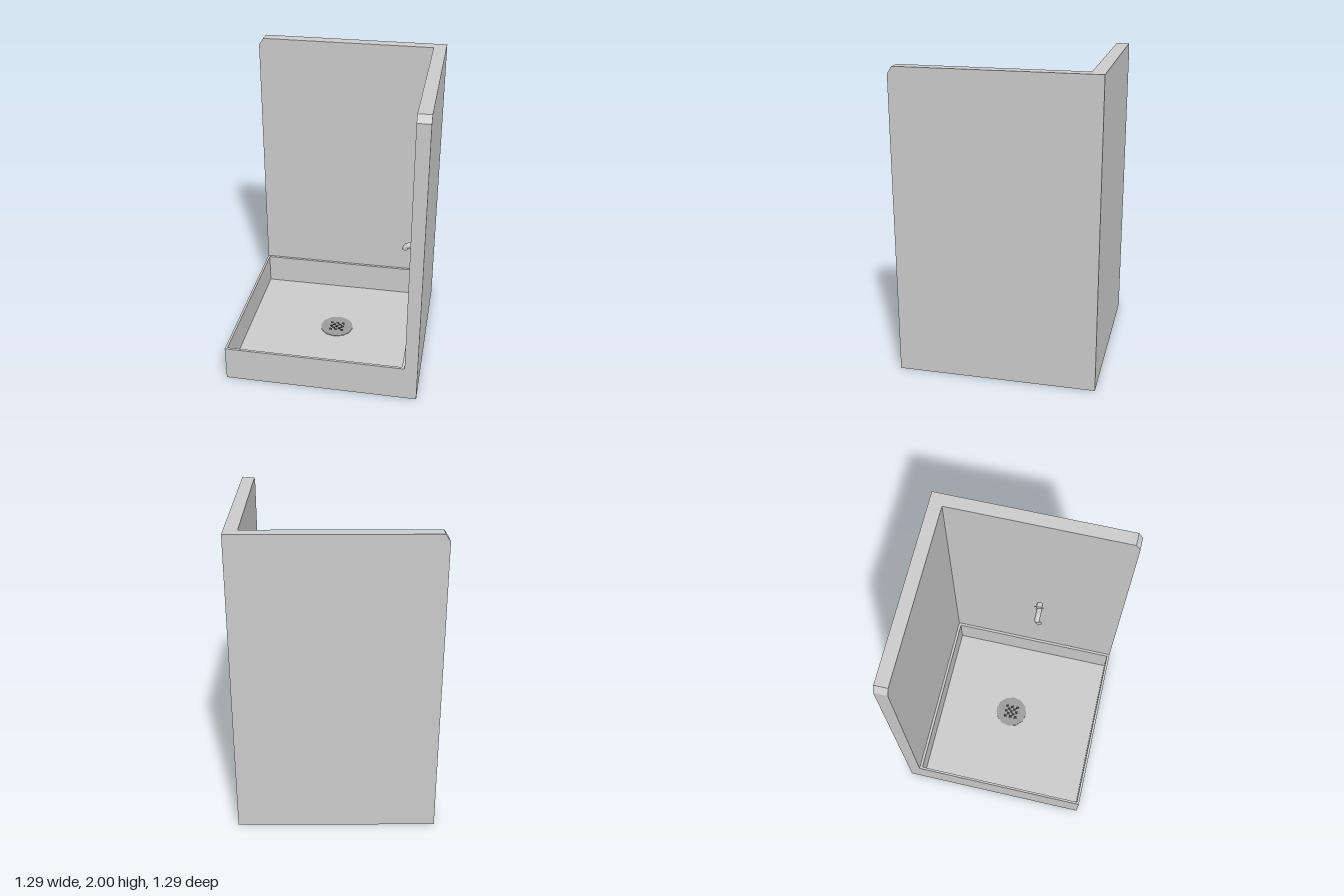
import * as THREE from 'three';

const W = 0.645, IN = 0.56, RIM = 0.24, FLOOR = 0.03;

export function createModel() {
  const model = new THREE.Group();
  const grey = new THREE.MeshStandardMaterial({ color: 0xcccccc, flatShading: true });
  const smooth = new THREE.MeshStandardMaterial({ color: 0xcccccc });
  const drainGrey = new THREE.MeshStandardMaterial({ color: 0x9c9c9c, flatShading: true });
  const dark = new THREE.MeshStandardMaterial({ color: 0x333333 });

  const add = (name, geometry, material, parent = model) => {
    const mesh = new THREE.Mesh(geometry, material);
    mesh.name = name;
    parent.add(mesh);
    return mesh;
  };
  const polygon = (points) => new THREE.Shape(points.map(([x, y]) => new THREE.Vector2(x, y)));
  const extrude = (shape, depth) => new THREE.ExtrudeGeometry(shape, { depth, bevelEnabled: false });

  // Back and side walls, each with a clipped top corner at its free end
  const wall = (start, end) => polygon([[start, 0], [end, 0], [end, 2], [start + 0.03, 2], [start, 1.955]]);
  add('backWall', extrude(wall(-W, W), W - IN).translate(0, 0, -W), grey);
  add('sideWall', extrude(wall(-W, IN), W - IN).rotateY(Math.PI / 2).translate(IN, 0, 0), grey);

  // Tray: floor slab and a rim with a rectangular opening
  const tray = new THREE.Group();
  tray.name = 'tray';
  model.add(tray);
  const side = W + IN, mid = (W - IN) / 2;
  add('trayFloor', new THREE.BoxGeometry(side, FLOOR, side).translate(-mid, FLOOR / 2, mid), grey, tray);
  const rim = polygon([[-W, -W], [IN, -W], [IN, IN], [-W, IN]]);
  rim.holes.push(polygon([[-0.63, -0.628], [-0.63, 0.542], [0.542, 0.542], [0.542, -0.628]]));
  add('trayRim', extrude(rim, RIM).rotateX(-Math.PI / 2), grey, tray);

  // Drain plate with a checkered grille
  const drain = new THREE.Group();
  drain.name = 'drain';
  drain.position.set(0, FLOOR, -0.01);
  model.add(drain);
  add('drainPlate', new THREE.CylinderGeometry(0.117, 0.117, 0.004, 12).translate(0, 0.002, 0), drainGrey, drain);
  for (let i = 0; i < 5; i++) {
    for (let j = 0; j < 5; j++) {
      if ((i + j) % 2) continue;
      const slot = add('drainSlot', new THREE.BoxGeometry(0.02, 0.002, 0.02), dark, drain);
      slot.position.set((i - 2) * 0.02, 0.0045, (j - 2) * 0.02);
    }
  }

  // Tap fittings on the side wall
  const tap = new THREE.Group();
  tap.name = 'tap';
  tap.position.set(IN, 0, 0.07);
  model.add(tap);
  const path = new THREE.CurvePath();
  path.add(new THREE.LineCurve3(new THREE.Vector3(0, 0.826, 0), new THREE.Vector3(-0.045, 0.826, 0)));
  path.add(new THREE.QuadraticBezierCurve3(
    new THREE.Vector3(-0.045, 0.826, 0), new THREE.Vector3(-0.078, 0.826, 0), new THREE.Vector3(-0.08, 0.795, 0)));
  add('spout', new THREE.TubeGeometry(path, 16, 0.019, 12), smooth, tap);
  add('spoutMouth', new THREE.CircleGeometry(0.019, 12).rotateX(Math.PI / 2).translate(-0.08, 0.796, 0), dark, tap);

  const knob = add('knob', new THREE.CylinderGeometry(0.02, 0.02, 0.035, 12), smooth, tap);
  knob.rotation.z = Math.PI / 2;
  knob.position.set(-0.0175, 0.914, 0);
  for (const s of [-1, 1]) {
    const lever = add('knobLever', new THREE.CylinderGeometry(0.002, 0.006, 0.036, 8), smooth, tap);
    lever.rotation.x = s * Math.PI / 2;
    lever.position.set(-0.03, 0.914, s * 0.018);
  }
  const plate = add('overflowPlate', new THREE.CylinderGeometry(0.025, 0.025, 0.006, 16), smooth, tap);
  plate.rotation.z = Math.PI / 2;
  plate.position.set(-0.003, 0.57, 0);

  return model;
}
